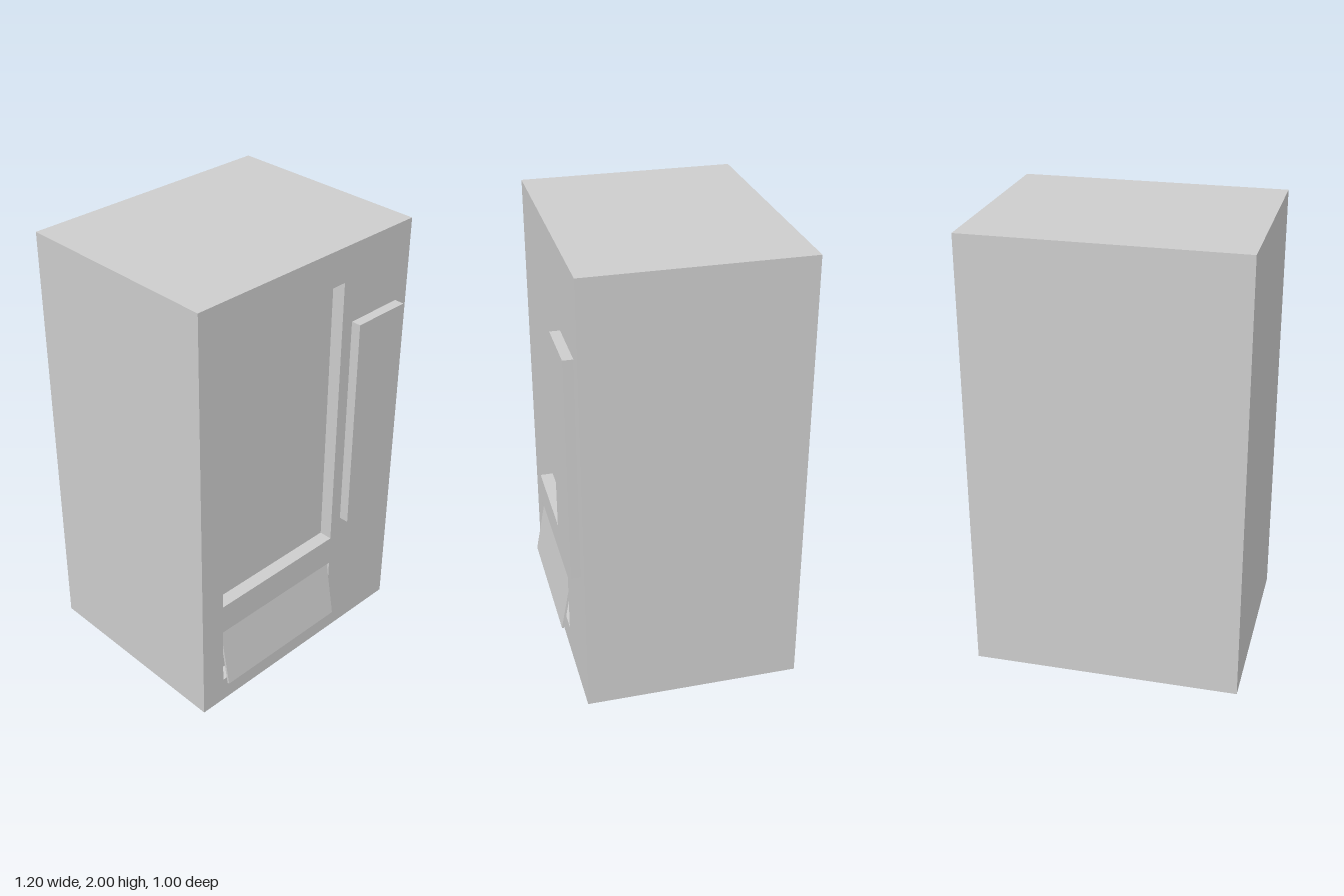
import * as THREE from 'three';

const W = 1.195, H = 2, BACK = -0.5, FRONT = 0.456, RECESS = 0.06;

// Rectangle as a closed outline, for the front frame and its openings
function rect(Kind, x0, y0, x1, y1) {
  const r = new Kind();
  r.moveTo(x0, y0).lineTo(x1, y0).lineTo(x1, y1).lineTo(x0, y1).closePath();
  return r;
}

export function createModel() {
  const group = new THREE.Group();
  const grey = new THREE.MeshStandardMaterial({ color: 0xcccccc });
  grey.name = 'grey';

  const add = (name, geometry, x, y, z) => {
    const mesh = new THREE.Mesh(geometry, grey);
    mesh.name = name;
    mesh.position.set(x, y, z);
    group.add(mesh);
    return mesh;
  };

  // Cabinet behind the recesses
  const depth = FRONT - RECESS - BACK;
  add('cabinet', new THREE.BoxGeometry(W, H, depth), 0, H / 2, BACK + depth / 2);

  // Front frame with the display window and the delivery slot cut out
  const frame = rect(THREE.Shape, -W / 2, 0, W / 2, H);
  frame.holes.push(
    rect(THREE.Path, -0.48, 0.545, 0.197, 1.842),
    rect(THREE.Path, -0.48, 0.12, 0.197, 0.402),
  );
  add('frontFrame', new THREE.ExtrudeGeometry(frame, { depth: RECESS, bevelEnabled: false }),
    0, 0, FRONT - RECESS);

  // Raised control panel
  add('controlPanel', new THREE.BoxGeometry(0.275, 1.012, 0.044), 0.393, 1.139, FRONT + 0.022);

  // Delivery flap, hinged at the top and swung out at the bottom
  const flap = add('deliveryFlap', new THREE.BoxGeometry(0.675, 0.284, 0.01), -0.1415, 0.261, 0.462);
  flap.rotation.x = -0.182;

  return group;
}
